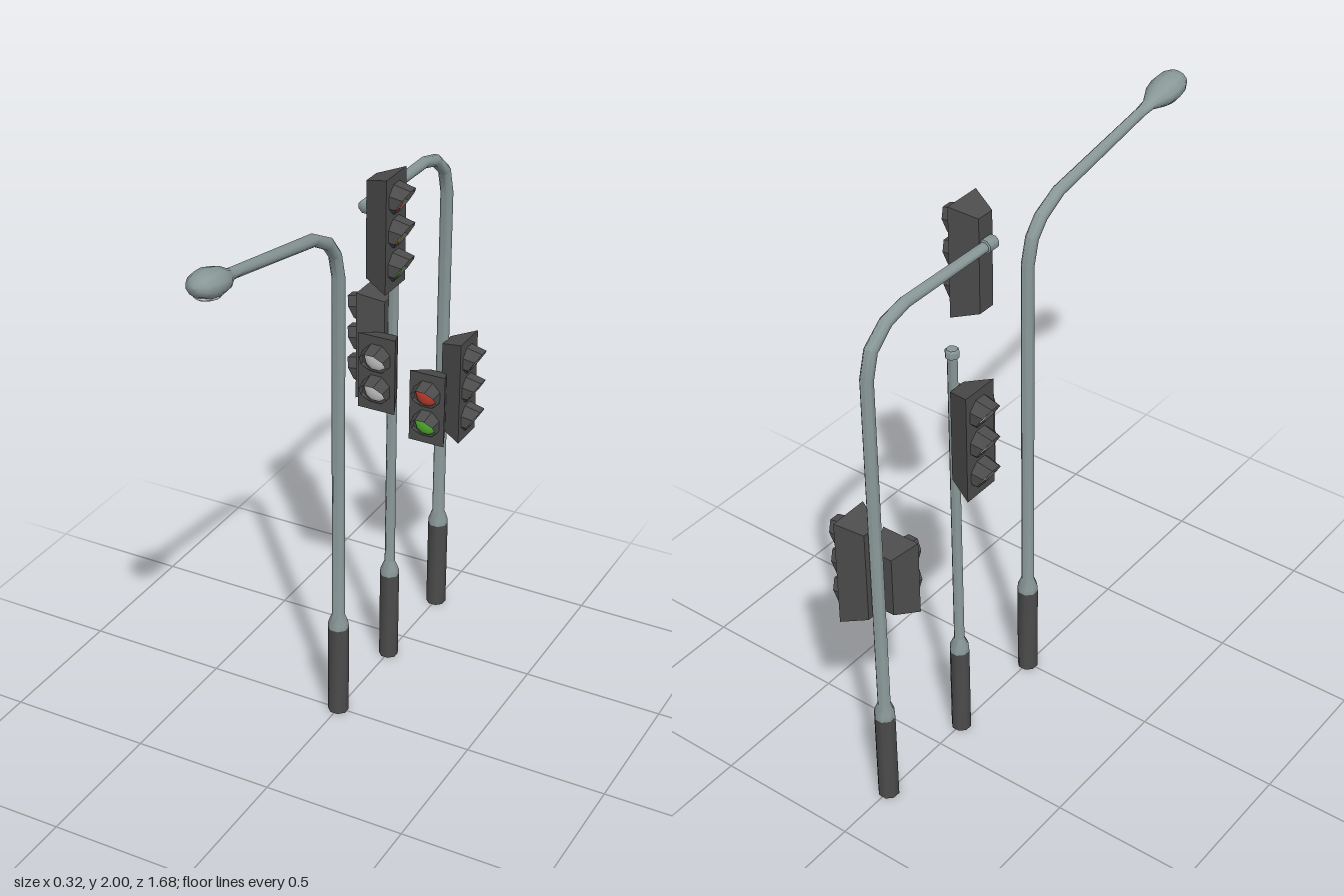
import * as THREE from 'three';
import { toCreasedNormals } from 'three/addons/utils/BufferGeometryUtils.js';

const mat = (name, color) => Object.assign(new THREE.MeshStandardMaterial({ color }), { name });

export function createModel() {
  const steel = mat('steel', 0x8a9898);
  const dark = mat('dark grey', 0x4c4c4c);
  dark.side = THREE.DoubleSide; // the visors are open
  const red = mat('red lens', 0xc2402f);
  const amber = mat('amber lens', 0xb8942c);
  const green = mat('green lens', 0x55b52f);
  const off = mat('unlit lens', 0xc8c8c8);
  const lampGlass = mat('lamp glass', 0xd4d6d2);

  const model = new THREE.Group();
  model.name = 'streetPoles';
  const add = (parent, name, geo, material, x = 0, y = 0, z = 0) => {
    const m = new THREE.Mesh(geo, material);
    m.name = name;
    m.position.set(x, y, z);
    parent.add(m);
  };

  // Round tube along a path of [y, z, radius] in the plane x = 0; neighbouring points must differ
  function sweep(path, sides = 8) {
    const pos = [], index = [];
    path.forEach(([y, z, r], i) => {
      const a = path[Math.max(i - 1, 0)], b = path[Math.min(i + 1, path.length - 1)];
      const len = Math.hypot(b[0] - a[0], b[1] - a[1]);
      const ty = (b[0] - a[0]) / len, tz = (b[1] - a[1]) / len;
      for (let j = 0; j < sides; j++) {
        const t = ((j + 0.5) / sides) * Math.PI * 2;
        const s = r * Math.sin(t);
        pos.push(r * Math.cos(t), y + s * tz, z - s * ty);
        if (i === path.length - 1) continue;
        const k = i * sides, n = (j + 1) % sides;
        index.push(k + j, k + n, k + sides + n, k + j, k + sides + n, k + sides + j);
      }
    });
    const g = new THREE.BufferGeometry();
    g.setAttribute('position', new THREE.Float32BufferAttribute(pos, 3));
    g.setIndex(index);
    return toCreasedNormals(g, 0.85);
  }

  // Dark sleeve, tapered collar and pole
  function pole(name, z, baseR, r, rest) {
    const g = new THREE.Group();
    g.name = name;
    g.position.z = z;
    const sleeve = new THREE.CylinderGeometry(baseR, baseR, 0.345, 8);
    sleeve.rotateY(Math.PI / 8);
    add(g, 'poleSleeve', toCreasedNormals(sleeve, 0.85), dark, 0, 0.1725, 0);
    add(g, 'poleShaft', sweep([[0.345, 0, baseR], [0.365, 0, baseR * 0.97], [0.4, 0, r], ...rest]), steel);
    model.add(g);
    return g;
  }

  // Housing: wide front, narrower back
  function housing(h, depth) {
    const g = new THREE.BoxGeometry(0.138, h, depth);
    const p = g.attributes.position;
    for (let i = 0; i < p.count; i++) {
      if (p.getZ(i) > 0) continue;
      p.setX(i, p.getX(i) * 0.48);
      p.setY(i, p.getY(i) - Math.sign(p.getY(i)) * 0.028);
    }
    const flat = g.toNonIndexed();
    flat.computeVertexNormals();
    return flat;
  }

  // Hood: tube cut away towards its lower side, drooping slightly
  function visorGeometry() {
    const g = new THREE.CylinderGeometry(0.052, 0.054, 1, 8, 1, true);
    g.rotateY(Math.PI / 8);
    g.rotateX(Math.PI / 2);
    const p = g.attributes.position;
    for (let i = 0; i < p.count; i++) {
      if (p.getZ(i) < 0) { p.setZ(i, 0); continue; }
      const f = (p.getY(i) + 0.05) / 0.1;
      p.setXYZ(i, p.getX(i) * (1 - 0.12 * f), p.getY(i) - 0.012 * f, 0.004 + 0.056 * f);
    }
    const flat = g.toNonIndexed();
    flat.computeVertexNormals();
    return flat;
  }
  const visor = visorGeometry();
  const lens = new THREE.SphereGeometry(0.045, 10, 4, 0, Math.PI * 2, 0, Math.PI / 2);
  lens.scale(1, 0.4, 1);
  lens.rotateX(Math.PI / 2);

  // Signal head facing local +z; y is its lowest lens
  function signal(name, parent, y, z, turn, back, colours) {
    const g = new THREE.Group();
    g.name = name;
    g.position.set(0, y, z);
    g.rotation.y = turn;
    const step = 0.115, n = colours.length, depth = 0.088;
    const mid = ((n - 1) * step) / 2;
    add(g, 'signalHousing', housing(n * step + 0.045, depth), dark, 0, mid, back + depth / 2);
    colours.forEach((c, i) => {
      const ly = (n - 1 - i) * step;
      add(g, 'signalLens', lens, c, 0, ly, back + depth);
      add(g, 'signalVisor', visor, dark, 0, ly, back + depth);
    });
    parent.add(g);
  }

  // Street lamp
  const lamp = pole('streetLamp', 0, 0.036, 0.022, [[1.66, 0, 0.022], [1.745, 0.022, 0.022],
    [1.8, 0.068, 0.022], [1.848, 0.16, 0.021], [1.937, 0.66, 0.018], [1.94, 0.69, 0.018]]);
  const head = new THREE.Group();
  head.name = 'lampHead';
  head.position.set(0, 1.953, 0.755);
  head.rotation.x = Math.PI / 2 - 0.172;
  const profile = [[0.018, -0.17], [0.024, -0.1], [0.036, -0.075], [0.05, -0.045], [0.057, -0.005],
    [0.053, 0.035], [0.038, 0.066], [0.018, 0.08], [0, 0.083]];
  const shell = new THREE.LatheGeometry(profile.map(([r, l]) => new THREE.Vector2(r, l)), 10);
  shell.scale(1, 1, 0.78);
  add(head, 'lampShell', shell, steel);
  const glass = new THREE.SphereGeometry(1, 12, 8);
  glass.scale(0.037, 0.055, 0.016);
  add(head, 'lampGlass', glass, lampGlass, 0, 0.003, 0.033);
  lamp.add(head);

  // Straight pole with unlit signals
  const middle = pole('middlePole', -0.383, 0.034, 0.018, [[1.525, 0, 0.017], [1.528, 0, 0.023],
    [1.55, 0, 0.023], [1.556, 0, 0.018], [1.557, 0, 0]]);
  signal('frontSignal', middle, 1.14, 0, 0, 0.03, [off, off]);
  signal('rightSignal', middle, 1.14, 0, -Math.PI / 2, 0.015, [off, off, off]);

  // Mast with overhead arm
  const mast = pole('signalMast', -0.775, 0.036, 0.022, [[1.66, 0, 0.022], [1.748, 0.024, 0.022],
    [1.808, 0.095, 0.021], [1.83, 0.18, 0.02], [1.83, 0.555, 0.018], [1.83, 0.558, 0.024],
    [1.83, 0.6, 0.024], [1.83, 0.606, 0.018], [1.83, 0.607, 0]]);
  signal('frontSignal', mast, 0.82, 0, 0, 0.03, [red, green]);
  signal('leftSignal', mast, 0.82, 0, Math.PI / 2, 0.015, [red, amber, green]);
  signal('overheadSignal', mast, 1.645, 0.58, Math.PI / 2, 0.012, [red, amber, green]);

  return model;
}
